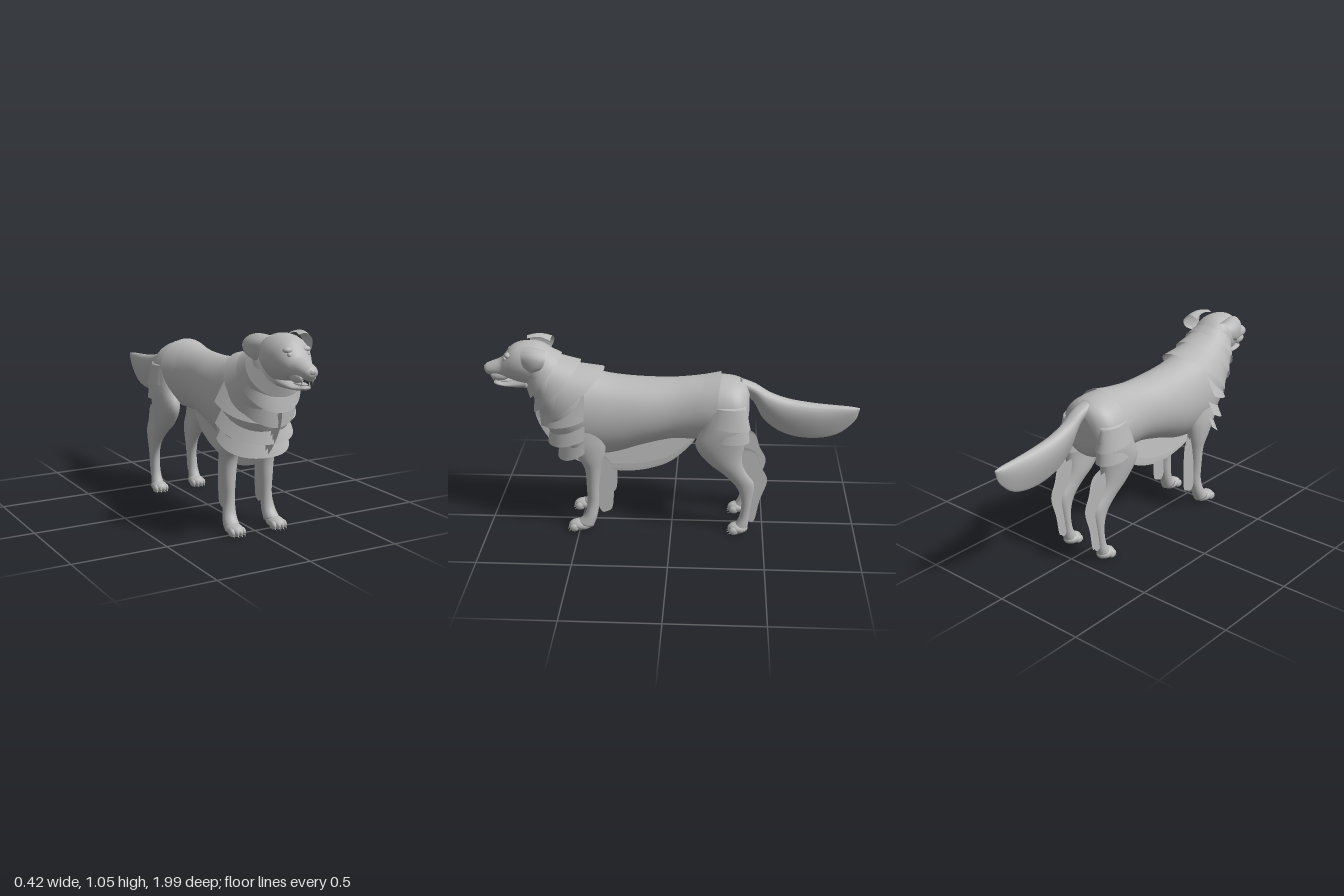
import * as THREE from 'three';

const coat = new THREE.MeshStandardMaterial({ color: 0xb8b8b8, side: THREE.DoubleSide });
coat.name = 'grey coat';

function add(parent, name, geometry) {
  const mesh = new THREE.Mesh(geometry, coat);
  mesh.name = name;
  parent.add(mesh);
  return mesh;
}

// Grid surface from fn(u, v) -> [x, y, z]; wrap joins the last column to the first.
function grid(nu, nv, fn, wrap = false, caps = false) {
  const pos = [], idx = [], cols = wrap ? nv : nv + 1;
  for (let i = 0; i <= nu; i++) for (let j = 0; j < cols; j++) pos.push(...fn(i / nu, j / nv));
  for (let i = 0; i < nu; i++) for (let j = 0; j < nv; j++) {
    const a = i * cols + j, b = i * cols + (j + 1) % cols;
    idx.push(a, a + cols, b, b, a + cols, b + cols);
  }
  if (caps) for (const row of [0, nu]) {
    const c = [0, 0, 0];
    for (let j = 0; j < cols; j++) for (let k = 0; k < 3; k++) c[k] += pos[(row * cols + j) * 3 + k] / cols;
    const ci = pos.push(...c) / 3 - 1;
    for (let j = 0; j < cols; j++) {
      const a = row * cols + j, b = row * cols + (j + 1) % cols;
      if (row) idx.push(ci, b, a); else idx.push(ci, a, b);
    }
  }
  const g = new THREE.BufferGeometry();
  g.setAttribute('position', new THREE.Float32BufferAttribute(pos, 3));
  g.setIndex(idx);
  g.computeVertexNormals();
  return g;
}

// Smooth loft through ellipses: [z1, y1, z2, y2, halfWidth, centreX], points 1 and 2 being opposite rims.
function loft(sections, { caps = true, drop = 0, seg = 28 } = {}) {
  const n = sections.length - 1;
  const at = (i, k) => sections[Math.min(n, Math.max(0, i))][k] ?? 0;
  const value = (u, k) => {
    const i = Math.min(n - 1, Math.floor(u * n + 1e-6)), t = u * n - i;
    const a = at(i - 1, k), b = at(i, k), c = at(i + 1, k), d = at(i + 2, k);
    return b + 0.5 * t * (c - a + t * (2 * a - 5 * b + 4 * c - d + t * (3 * (b - c) + d - a)));
  };
  return grid(n * 4, seg, (u, v) => {
    const [z1, y1, z2, y2, r, x] = [0, 1, 2, 3, 4, 5].map(k => value(u, k));
    const a = v * Math.PI * 2, c = Math.cos(a);
    return [x + r * Math.sin(a) * (1 + drop * c) / (1 + drop * 0.35),
      (y1 + y2) / 2 + (y1 - y2) / 2 * c, (z1 + z2) / 2 + (z1 - z2) / 2 * c];
  }, true, caps);
}

// Flat fur panel in the z-y plane from a smooth outline of [z, y] points.
function panel(points) {
  const shape = new THREE.Shape();
  shape.moveTo(...points[0]);
  shape.splineThru(points.slice(1).map(p => new THREE.Vector2(...p)));
  return new THREE.ShapeGeometry(shape, 8).rotateY(-Math.PI / 2);
}

function ball(parent, name, x, y, z, rx, ry, rz) {
  const m = add(parent, name, new THREE.SphereGeometry(1, 16, 12));
  m.position.set(x, y, z);
  m.scale.set(rx, ry, rz);
  return m;
}

function addPaw(parent, x, z, length) {
  ball(parent, 'paw', x, 0.038, z - length * 0.55, 0.043, 0.03, length * 0.5);
  [-1.5, -0.5, 0.5, 1.5].forEach(k => {
    const tz = z - 0.026 - Math.abs(k) * 0.009;
    ball(parent, 'toe', x + k * 0.021, 0.03, tz, 0.014, 0.022, 0.026);
    const claw = add(parent, 'claw', new THREE.ConeGeometry(0.006, 0.022, 8));
    claw.position.set(x + k * 0.021, 0.016, tz + 0.024);
    claw.rotation.x = 2.1;
  });
}

function addHead(head) {
  add(head, 'skull', loft([
    [0.60, 0.99, 0.64, 0.84, 0.09], [0.68, 1.045, 0.70, 0.82, 0.114], [0.76, 1.056, 0.77, 0.825, 0.112],
    [0.83, 1.038, 0.82, 0.838, 0.096], [0.872, 0.995, 0.865, 0.852, 0.075], [0.90, 0.963, 0.90, 0.858, 0.057],
    [0.95, 0.942, 0.945, 0.864, 0.046], [0.982, 0.928, 0.975, 0.872, 0.035], [0.992, 0.912, 0.987, 0.888, 0.018]]));
  add(head, 'lowerJaw', loft([
    [0.76, 0.87, 0.76, 0.80, 0.065], [0.82, 0.848, 0.82, 0.802, 0.055], [0.88, 0.83, 0.88, 0.806, 0.043],
    [0.925, 0.832, 0.925, 0.812, 0.033], [0.945, 0.832, 0.945, 0.82, 0.018]]));
  ball(head, 'tongue', 0, 0.838, 0.89, 0.024, 0.008, 0.05);
  ball(head, 'nose', 0, 0.908, 0.978, 0.023, 0.018, 0.017);
  for (const s of [-1, 1]) {
    ball(head, 'eye', s * 0.05, 0.972, 0.868, 0.012, 0.012, 0.012);
    ball(head, 'brow', s * 0.048, 0.992, 0.852, 0.026, 0.015, 0.02);
    ball(head, 'lip', s * 0.036, 0.872, 0.905, 0.017, 0.024, 0.05);
    // teeth, upper and lower
    [[0.03, 0.852, 0.945, Math.PI], [0.022, 0.843, 0.93, 0]].forEach(([x, y, z, r]) => {
      const tooth = add(head, 'tooth', new THREE.ConeGeometry(0.005, 0.026, 8));
      tooth.position.set(s * x, y, z);
      tooth.rotation.x = r;
    });
    // folded ear between a front and a back edge
    const edge = pts => new THREE.CatmullRomCurve3(pts.map(p => new THREE.Vector3(s * p[0], p[1], p[2])));
    const front = edge([[0.065, 1.045, 0.77], [0.10, 1.052, 0.775], [0.142, 1.022, 0.77], [0.145, 0.97, 0.76], [0.138, 0.935, 0.73]]);
    const back = edge([[0.075, 1.03, 0.65], [0.12, 1.045, 0.645], [0.165, 1.01, 0.64], [0.167, 0.965, 0.66], [0.142, 0.933, 0.715]]);
    add(head, 'ear', grid(14, 8, (u, v) => {
      const p = front.getPoint(u).lerp(back.getPoint(u), v), bulge = 0.012 * Math.sin(v * Math.PI);
      return [p.x + s * bulge, p.y + bulge * (1 - u), p.z];
    }));
  }
}

export function createModel() {
  const dog = new THREE.Group();
  dog.name = 'dog';

  add(dog, 'body', loft([
    [-0.41, 0.80, -0.41, 0.68, 0.06], [-0.39, 0.845, -0.40, 0.60, 0.12], [-0.33, 0.872, -0.36, 0.56, 0.165],
    [-0.22, 0.882, -0.24, 0.53, 0.165], [-0.10, 0.87, -0.12, 0.525, 0.145], [0, 0.862, 0, 0.525, 0.14],
    [0.15, 0.862, 0.15, 0.49, 0.155], [0.30, 0.875, 0.33, 0.435, 0.165], [0.42, 0.90, 0.52, 0.43, 0.17],
    [0.50, 0.93, 0.63, 0.52, 0.165], [0.56, 0.955, 0.69, 0.63, 0.155], [0.62, 0.995, 0.72, 0.72, 0.145],
    [0.66, 1.025, 0.75, 0.79, 0.125], [0.70, 1.035, 0.77, 0.83, 0.10]], { seg: 36 }));

  // tail, wide at the top and thin along its hanging fringe
  add(dog, 'tail', loft([
    [-0.995, 0.71, -0.992, 0.69, 0.004], [-0.94, 0.718, -0.968, 0.63, 0.02], [-0.85, 0.725, -0.88, 0.555, 0.031],
    [-0.74, 0.735, -0.745, 0.53, 0.042], [-0.62, 0.755, -0.60, 0.557, 0.045], [-0.52, 0.79, -0.49, 0.635, 0.044],
    [-0.44, 0.838, -0.43, 0.74, 0.042], [-0.36, 0.868, -0.36, 0.78, 0.04]], { drop: 0.6 }));

  const head = new THREE.Group();
  head.name = 'head';
  addHead(head);
  dog.add(head);

  // overlapping neck ruffs, flaring backwards
  [[[0.66, 1.03, 0.77, 0.80, 0.115], [0.58, 0.985, 0.755, 0.75, 0.156]],
    [[0.60, 0.98, 0.73, 0.75, 0.14], [0.48, 0.948, 0.74, 0.67, 0.166]],
    [[0.52, 0.935, 0.71, 0.68, 0.15], [0.355, 0.912, 0.705, 0.59, 0.18]],
  ].forEach(s => add(dog, 'neckRuff', loft(s, { caps: false, seg: 36 })));

  // chest fur layers wrapping from shoulder to shoulder
  [[0.61, 0.25, 0.21], [0.50, 0.215, 0.206], [0.42, 0.165, 0.2]].forEach(([y, depth, width]) => {
    add(dog, 'chestFur', grid(4, 28, (u, v) => {
      const k = v * 2 - 1, a = k * 1.6;
      return [Math.sin(a) * THREE.MathUtils.lerp(0.14, width, u),
        y + 0.085 * Math.abs(k) ** 2.5 + 0.12 * (1 - u),
        0.455 + Math.cos(a) * (depth - 0.02 * (1 - u))];
    }));
  });

  // raised edge of the coat over the rump
  add(dog, 'rumpFur', grid(5, 24, (u, v) => {
    const a = (v * 2 - 1) * 1.35;
    return [Math.sin(a) * (0.142 + 0.032 * u), 0.70 + Math.cos(a) * (0.165 + 0.03 * u),
      -0.10 - 0.16 * u + 0.02 * u * Math.sin(a) ** 2];
  }));

  // fanned fur panels under the chest and belly
  const fringe = panel([[0.64, 0.72], [0.735, 0.67], [0.69, 0.53], [0.57, 0.395], [0.41, 0.33], [0.25, 0.31],
    [0.10, 0.335], [-0.02, 0.395], [-0.13, 0.53], [0, 0.58], [0.30, 0.55], [0.52, 0.60], [0.64, 0.72]]);
  fringe.translate(0, -0.62, 0);
  [[-0.2, 0.8], [-0.08, 0.92], [0, 1], [0.08, 0.92], [0.2, 0.8]].forEach(([tilt, size]) => {
    const m = add(dog, 'bellyFringe', fringe);
    m.position.y = 0.62;
    m.rotation.z = tilt;
    m.scale.set(1, size, 0.85 + size * 0.15);
  });

  for (const s of [-1, 1]) {
    const front = new THREE.Group(), hind = new THREE.Group();
    front.name = s > 0 ? 'leftFrontLeg' : 'rightFrontLeg';
    hind.name = s > 0 ? 'leftHindLeg' : 'rightHindLeg';
    dog.add(front, hind);
    const side = rows => rows.map(r => [...r.slice(0, 5), s * r[5]]);

    add(front, 'frontLeg', loft(side([
      [0.57, 0.68, 0.33, 0.68, 0.045, 0.11], [0.565, 0.56, 0.34, 0.54, 0.058, 0.115],
      [0.51, 0.46, 0.36, 0.44, 0.052, 0.115], [0.465, 0.38, 0.375, 0.37, 0.045, 0.11],
      [0.457, 0.26, 0.388, 0.26, 0.034, 0.11], [0.457, 0.17, 0.39, 0.17, 0.03, 0.11],
      [0.472, 0.10, 0.405, 0.085, 0.036, 0.116], [0.51, 0.062, 0.425, 0.03, 0.04, 0.12]])));
    addPaw(front, s * 0.122, 0.567, 0.13);

    add(hind, 'hindLeg', loft(side([
      [-0.20, 0.76, -0.39, 0.76, 0.045, 0.125], [-0.165, 0.64, -0.41, 0.65, 0.066, 0.125],
      [-0.13, 0.53, -0.39, 0.55, 0.06, 0.125], [-0.20, 0.43, -0.385, 0.45, 0.05, 0.12],
      [-0.285, 0.36, -0.41, 0.38, 0.036, 0.12], [-0.35, 0.29, -0.45, 0.31, 0.028, 0.12],
      [-0.38, 0.21, -0.44, 0.21, 0.025, 0.12], [-0.375, 0.12, -0.428, 0.12, 0.026, 0.12],
      [-0.355, 0.07, -0.42, 0.055, 0.033, 0.12], [-0.335, 0.05, -0.41, 0.02, 0.036, 0.12]])));
    addPaw(hind, s * 0.12, -0.305, 0.11);

    // fur bands around the thigh
    [[[-0.21, 0.76, -0.39, 0.75, 0.05, 0.125], [-0.18, 0.66, -0.418, 0.63, 0.072, 0.125]],
      [[-0.19, 0.66, -0.405, 0.66, 0.06, 0.125], [-0.19, 0.575, -0.415, 0.56, 0.07, 0.125]],
    ].forEach(r => add(hind, 'thighFur', loft(side(r), { caps: false })));

    // thin feathering behind the legs
    const frontFeather = panel([[0.42, 0.46], [0.365, 0.45], [0.32, 0.40], [0.31, 0.28], [0.318, 0.15],
      [0.345, 0.12], [0.385, 0.13], [0.42, 0.28], [0.42, 0.46]]);
    const hindFeather = panel([[-0.36, 0.52], [-0.445, 0.495], [-0.48, 0.41], [-0.515, 0.33], [-0.478, 0.21],
      [-0.45, 0.085], [-0.41, 0.12], [-0.41, 0.28], [-0.36, 0.40], [-0.36, 0.52]]);
    for (const k of [-1, 1]) {
      [[front, frontFeather, 0.11, 0.31], [hind, hindFeather, 0.12, -0.515]].forEach(([leg, shape, x, pivot]) => {
        const m = add(leg, 'feather', shape.clone().translate(0, 0, -pivot));
        m.position.set(s * x, 0, pivot);
        m.rotation.y = k * 0.14;
      });
    }
  }
  return dog;
}
